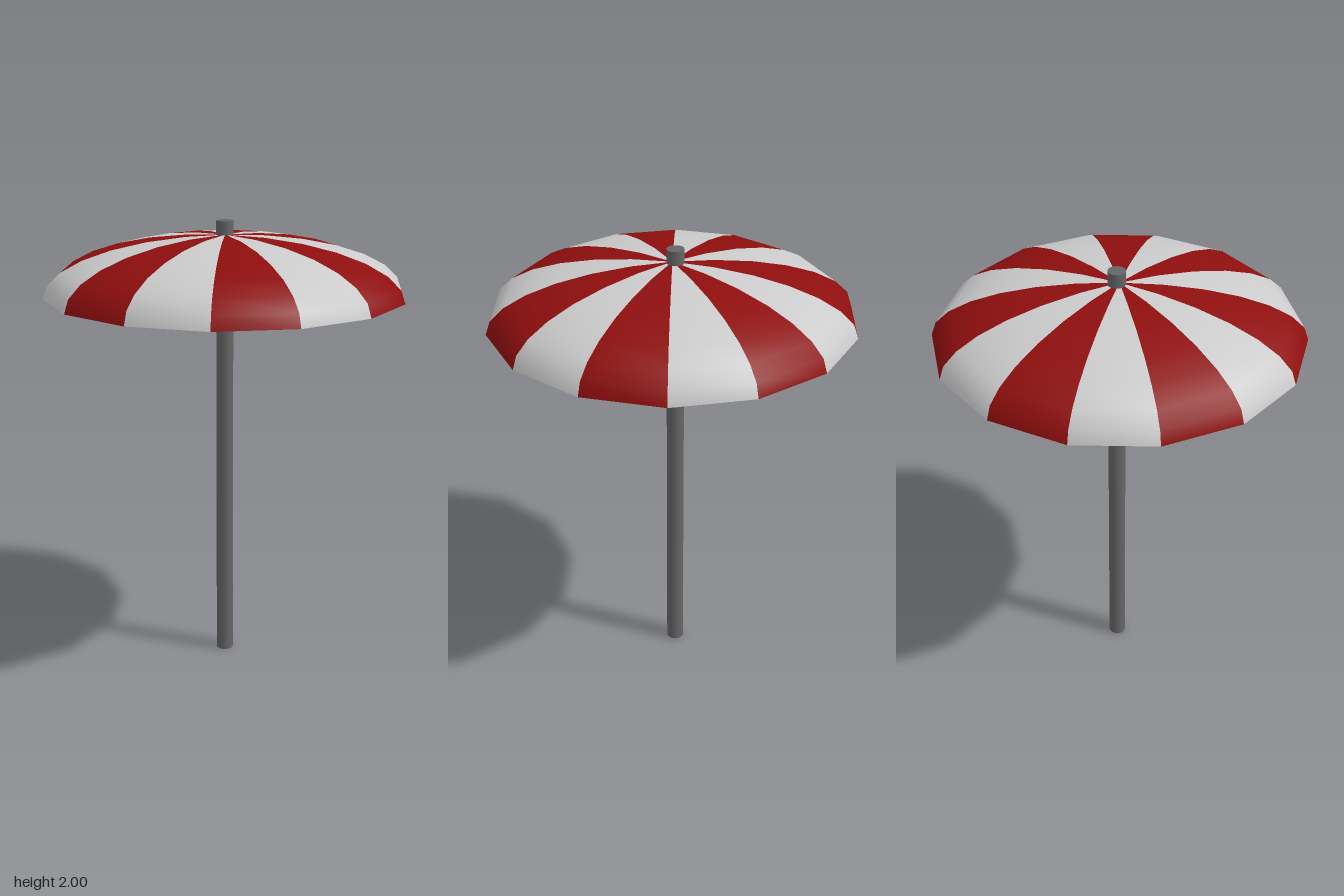
import * as THREE from 'three';

const SIDES = 14, RINGS = 7;
const RADIUS = 0.79, RIM_Y = 1.68, DOME_HEIGHT = 0.26;

export function createModel() {
  const model = new THREE.Group();
  model.name = 'parasol';

  const grey = new THREE.MeshStandardMaterial({ color: 0xcccccc, side: THREE.DoubleSide });
  const red = new THREE.MeshStandardMaterial({ color: 0x8f0e0e, side: THREE.DoubleSide });
  const darkGrey = new THREE.MeshStandardMaterial({ color: 0x666666 });

  // Canopy: thin elliptical dome of alternating striped panels
  const profile = [];
  for (let i = 0; i <= RINGS; i++) {
    const a = (i / RINGS) * Math.PI / 2;
    profile.push(new THREE.Vector2(
      i === RINGS ? 0 : RADIUS * Math.cos(a),
      RIM_Y + DOME_HEIGHT * Math.sin(a)
    ));
  }
  const canopy = new THREE.Group();
  canopy.name = 'canopy';
  const step = (Math.PI * 2) / SIDES;
  for (let k = 0; k < SIDES; k++) {
    const start = Math.PI / 2 - (k + 1) * step;
    const panel = new THREE.Mesh(
      new THREE.LatheGeometry(profile, 1, start, step),
      k % 2 ? red : grey
    );
    panel.name = k % 2 ? 'redPanel' : 'greyPanel';
    canopy.add(panel);
  }
  model.add(canopy);

  // Pole, set slightly behind the canopy centre and poking out on top
  const pole = new THREE.Mesh(new THREE.CylinderGeometry(0.038, 0.038, 2, 16), darkGrey);
  pole.name = 'pole';
  pole.position.set(0, 1, -0.014);
  model.add(pole);

  return model;
}
